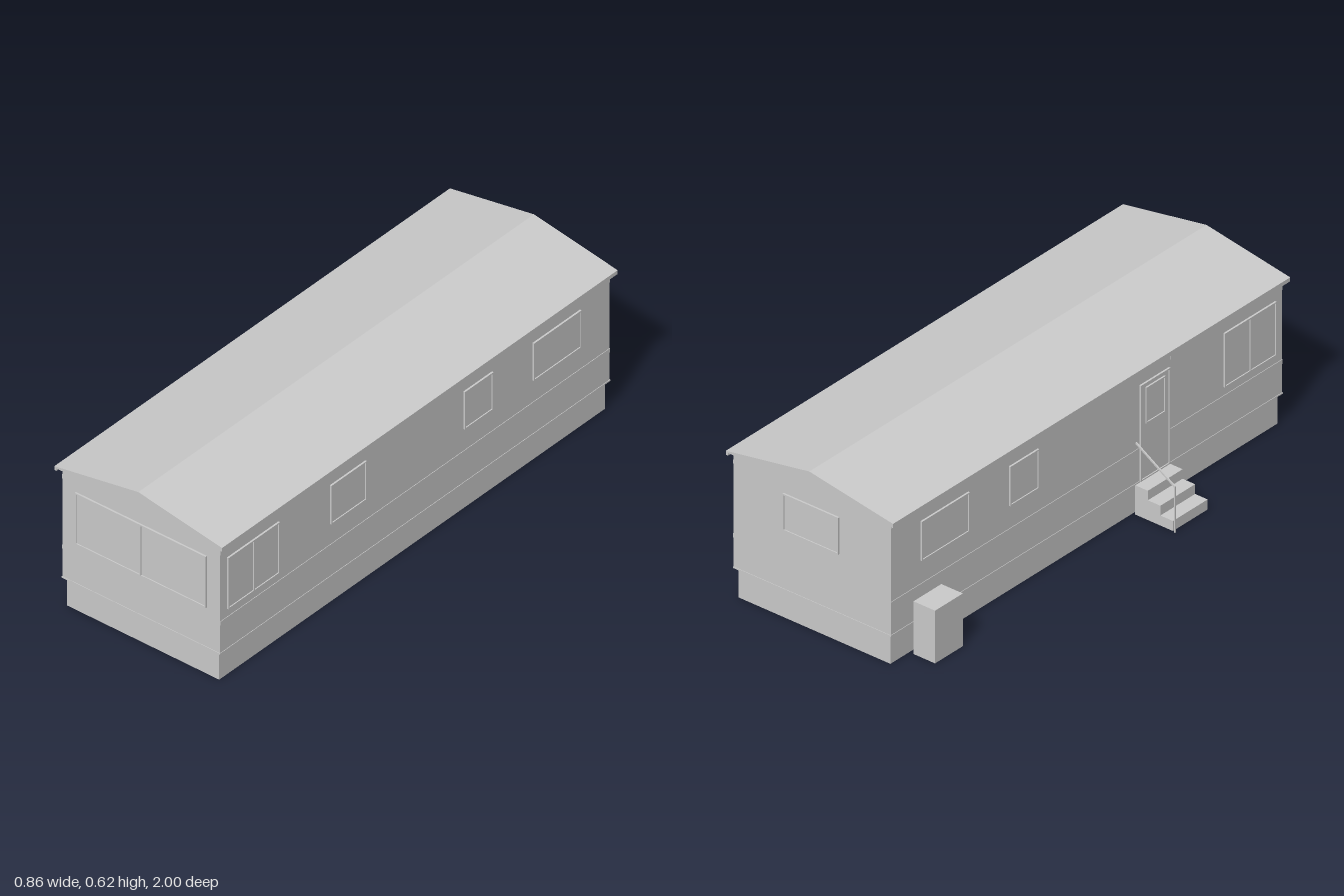
import * as THREE from 'three';

const grey = new THREE.MeshStandardMaterial({ color: 0xcccccc });
grey.name = 'light grey';

// Wall extents shared by the parts
const X0 = -0.257, X1 = 0.407, ZW = 0.985, FLOOR = 0.113, EAVE = 0.55;

function add(parent, name, geometry) {
  const mesh = new THREE.Mesh(geometry, grey);
  mesh.name = name;
  parent.add(mesh);
  return mesh;
}

// Box given by its minimum and maximum corners
function block(parent, name, x0, x1, y0, y1, z0, z1) {
  const mesh = add(parent, name, new THREE.BoxGeometry(x1 - x0, y1 - y0, z1 - z0));
  mesh.position.set((x0 + x1) / 2, (y0 + y1) / 2, (z0 + z1) / 2);
  return mesh;
}

// Closed outline in x and y, extruded from z0 to z1
function prism(parent, name, points, z0, z1) {
  const shape = new THREE.Shape(points.map(([x, y]) => new THREE.Vector2(x, y)));
  const geometry = new THREE.ExtrudeGeometry(shape, { depth: z1 - z0, bevelEnabled: false });
  return add(parent, name, geometry.translate(0, 0, z0));
}

// Rectangular panel with a slim raised frame, facing +z from its own origin
function framedPanel(name, width, height, panes = 1) {
  const panel = new THREE.Group();
  panel.name = name;
  const w = width / 2, h = height / 2, rim = 0.005;
  const outline = new THREE.Shape([[-w, -h], [w, -h], [w, h], [-w, h]].map(p => new THREE.Vector2(...p)));
  const step = (width - rim) / panes;
  for (let i = 0; i < panes; i++) {
    const a = -w + rim + i * step, b = a + step - rim;
    outline.holes.push(new THREE.Path(
      [[a, -h + rim], [a, h - rim], [b, h - rim], [b, -h + rim]].map(p => new THREE.Vector2(...p))));
  }
  add(panel, 'frame', new THREE.ExtrudeGeometry(outline, { depth: 0.007, bevelEnabled: false }));
  block(panel, 'pane', -w + 0.002, w - 0.002, -h + 0.002, h - 0.002, 0, 0.003);
  return panel;
}

// Panel on a long wall: side +1 is the left wall (+x), -1 the right wall (-x)
function onSide(parent, side, name, z0, z1, y0, y1, panes) {
  const panel = framedPanel(name, z1 - z0, y1 - y0, panes);
  panel.position.set(side > 0 ? X1 : X0, (y0 + y1) / 2, (z0 + z1) / 2);
  panel.rotation.y = side * Math.PI / 2;
  parent.add(panel);
  return panel;
}

// Panel on an end wall: side +1 is the front, -1 the back
function onEnd(parent, side, name, x0, x1, y0, y1, panes) {
  const panel = framedPanel(name, x1 - x0, y1 - y0, panes);
  panel.position.set((x0 + x1) / 2, (y0 + y1) / 2, side * ZW);
  panel.rotation.y = side > 0 ? 0 : Math.PI;
  parent.add(panel);
}

export function createModel() {
  const home = new THREE.Group();
  home.name = 'mobileHome';

  // Skirting, walls and the trim along their foot
  block(home, 'skirting', -0.247, 0.395, 0, 0.116, -0.975, 0.975);
  block(home, 'walls', X0, X1, FLOOR, EAVE, -ZW, ZW);
  block(home, 'footTrim', X0 - 0.002, X1 + 0.002, 0.112, 0.117, -ZW - 0.002, ZW + 0.002);

  // Low gabled roof with a gutter lip along each eave
  prism(home, 'roof', [
    [-0.279, 0.54], [-0.27, 0.54], [-0.27, 0.55], [0.419, 0.55], [0.419, 0.54],
    [0.428, 0.54], [0.428, 0.555], [0.075, 0.615], [-0.279, 0.555],
  ], -1, 1);

  // Thin belt strips along both long walls
  for (const y of [0.235, 0.515]) {
    block(home, 'beltStrip', X1, X1 + 0.002, y - 0.008, y + 0.008, -ZW, ZW);
    for (const [z0, z1] of [[-ZW, 0.26], [0.42, ZW]])
      block(home, 'beltStrip', X0 - 0.002, X0, y - 0.008, y + 0.008, z0, z1);
  }

  // Windows
  onEnd(home, 1, 'frontWindow', -0.2, 0.352, 0.275, 0.48, 2);
  onEnd(home, -1, 'backWindow', -0.04, 0.195, 0.34, 0.48, 1);
  for (const side of [1, -1]) {
    onSide(home, side, 'loungeWindow', 0.69, 0.95, 0.275, 0.48, 2);
    onSide(home, side, 'smallWindow', -0.39, -0.245, 0.33, 0.48, 1);
    onSide(home, side, 'bedroomWindow', -0.835, -0.595, 0.33, 0.48, 1);
  }
  onSide(home, 1, 'kitchenWindow', 0.25, 0.43, 0.325, 0.48, 1);

  // Door with its own window
  onSide(home, -1, 'door', 0.267, 0.415, 0.116, 0.48, 1);
  const doorWindow = onSide(home, -1, 'doorWindow', 0.293, 0.389, 0.325, 0.462, 1);
  doorWindow.position.x -= 0.002;

  // Steps up to the door
  prism(home, 'steps', [
    [-0.417, 0], [-0.257, 0], [-0.257, 0.111], [-0.311, 0.111], [-0.311, 0.075],
    [-0.364, 0.075], [-0.364, 0.038], [-0.417, 0.038],
  ], 0.245, 0.42);

  // Handrail: post and sloping bar in one bent strip
  prism(home, 'handrail', [
    [-0.43, 0], [-0.425, 0], [-0.425, 0.171], [-0.264, 0.271], [-0.264, 0.278], [-0.43, 0.175],
  ], 0.24, 0.245);

  // Storage locker beside the wall
  block(home, 'locker', -0.356, -0.265, 0, 0.2, -0.88, -0.74);

  return home;
}
